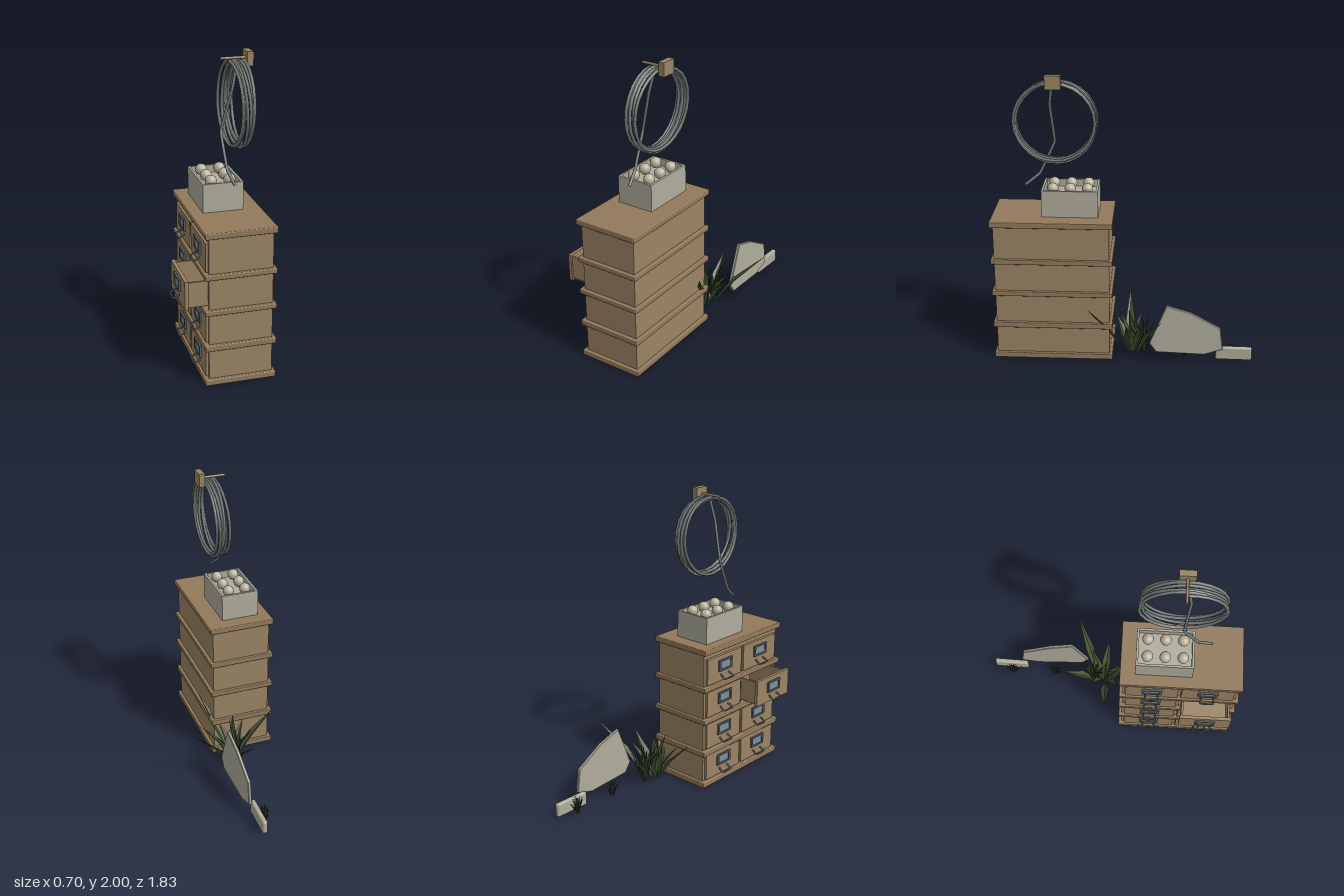
import * as THREE from 'three';
import { RoundedBoxGeometry } from 'three/addons/geometries/RoundedBoxGeometry.js';

const mat = (name, color, extra = {}) => {
  const m = new THREE.MeshStandardMaterial({ color, ...extra });
  m.name = name;
  return m;
};
const V = (x, y, z) => new THREE.Vector3(x, y, z);

export function createModel() {
  const wood = mat('wood', 0x9a8464);
  const trim = mat('trimWood', 0x92795a);
  const stone = mat('stone', 0xb0ad9c);
  const egg = mat('paleBall', 0xb8b39c);
  const cable = mat('cable', 0x727a77);
  const metal = mat('metal', 0x59636a);
  const label = mat('label', 0x7d8e9b);
  const leafLight = mat('leaf', 0x425230, { side: THREE.DoubleSide });
  const leafDark = mat('darkLeaf', 0x2a3822, { side: THREE.DoubleSide });

  const model = new THREE.Group();
  const add = (parent, name, geo, material, x = 0, y = 0, z = 0) => {
    const m = new THREE.Mesh(geo, material);
    m.name = name;
    m.position.set(x, y, z);
    parent.add(m);
    return m;
  };
  // box given by its minimum and maximum corners
  const box = (parent, name, material, x0, x1, y0, y1, z0, z1) =>
    add(parent, name, new THREE.BoxGeometry(x1 - x0, y1 - y0, z1 - z0), material,
      (x0 + x1) / 2, (y0 + y1) / 2, (z0 + z1) / 2);
  const polyTube = (pts, r, sides = 6) => {
    const path = new THREE.CatmullRomCurve3(pts, false, 'catmullrom', 0.08);
    return new THREE.TubeGeometry(path, pts.length * 8, r, sides);
  };

  // Everything in the cabinet group shares its slight turn
  const cabinet = new THREE.Group();
  cabinet.name = 'cabinet';
  cabinet.position.set(0, 0, 0.47);
  cabinet.rotation.y = 0.174;
  model.add(cabinet);

  // Horizontal boards with softened edges
  const boards = [[0, 0.04], [0.235, 0.275], [0.475, 0.51], [0.71, 0.745], [0.975, 1.015]];
  for (const [a, b] of boards)
    add(cabinet, 'board', new RoundedBoxGeometry(0.456, b - a, 0.824, 1, 0.006), trim, 0, (a + b) / 2, 0);

  // One drawer: hollow tray, front, label holder and pull
  function drawer(y, z, slide) {
    const d = new THREE.Group();
    d.name = 'drawer';
    d.position.set(-0.215 - slide, y, z);
    const h = 0.185, w = 0.178;
    box(d, 'drawerFront', wood, 0, 0.022, 0, h, -w, w);
    box(d, 'drawerBottom', wood, 0.022, 0.34, 0.005, 0.018, -0.16, 0.16);
    box(d, 'drawerBack', wood, 0.328, 0.34, 0.018, h - 0.012, -0.16, 0.16);
    for (const s of [-1, 1])
      box(d, 'drawerSide', wood, 0.022, 0.328, 0.018, h - 0.012, s * 0.16 - 0.007, s * 0.16 + 0.007);
    box(d, 'label', label, -0.005, 0, 0.085, 0.14, -0.055, 0.055);
    for (const s of [-1, 1]) {
      box(d, 'labelFrameSide', metal, -0.012, 0, 0.073, 0.152, s * 0.06 - 0.008, s * 0.06 + 0.008);
      box(d, 'labelFrameRail', metal, -0.012, 0, 0.1125 + s * 0.034 - 0.006, 0.1125 + s * 0.034 + 0.006, -0.052, 0.052);
    }
    add(d, 'pull', polyTube([V(0, 0.045, -0.04), V(-0.04, 0.022, -0.045), V(-0.04, 0.022, 0.045), V(0, 0.045, 0.04)], 0.006), metal);
    cabinet.add(d);
  }

  // Four carcass tiers, two drawers in each, one pulled out
  for (let i = 0; i < 4; i++) {
    const y0 = boards[i][1], y1 = boards[i + 1][0];
    box(cabinet, 'backPanel', wood, 0.18, 0.206, y0, y1, -0.39, 0.39);
    for (const s of [-1, 1])
      box(cabinet, 'endPanel', wood, -0.2, 0.18, y0, y1, s * 0.38 - 0.01, s * 0.38 + 0.01);
    box(cabinet, 'divider', wood, -0.2, 0.18, y0, y1, -0.01, 0.01);
    if (y1 - y0 > 0.22) box(cabinet, 'topRail', wood, -0.2, -0.18, y1 - 0.035, y1, -0.37, 0.37);
    drawer(y0 + 0.007, -0.19, 0);
    drawer(y0 + 0.007, 0.19, i === 2 ? 0.13 : 0);
  }

  // Stone tray holding six balls
  const rect = (p, hx, hz) => p.moveTo(-hx, -hz).lineTo(hx, -hz).lineTo(hx, hz).lineTo(-hx, hz).closePath();
  const rim = rect(new THREE.Shape(), 0.13, 0.19);
  rim.holes.push(rect(new THREE.Path(), 0.115, 0.175));
  const tray = add(cabinet, 'tray', new THREE.ExtrudeGeometry(rim, { depth: 0.185, bevelEnabled: false }), stone, -0.02, 1.015, -0.12);
  tray.rotation.x = -Math.PI / 2;
  box(cabinet, 'trayFloor', stone, -0.14, 0.1, 1.016, 1.15, -0.3, 0.06);
  for (const x of [-0.08, 0.04]) for (let k = -1; k < 2; k++)
    add(cabinet, 'ball', new THREE.SphereGeometry(0.038, 16, 12), egg, x, 1.196, -0.12 + k * 0.117);

  // Peg with its block, and the cable coil hung from it
  box(cabinet, 'pegBlock', wood, 0.143, 0.183, 1.91, 2, -0.085, 0.018);
  const peg = add(cabinet, 'peg', new THREE.CylinderGeometry(0.009, 0.009, 0.16, 8), wood, 0.068, 1.957, -0.033);
  peg.rotation.z = Math.PI / 2;
  const coil = [], turns = 7, steps = 24;
  for (let i = 0; i <= turns * steps; i++) {
    const t = i / steps, a = t * Math.PI * 2;
    const r = 0.263 + 0.007 * Math.sin(t * 2.4) + 0.004 * Math.sin(a * 1.5);
    coil.push(V(0.045 + 0.09 * t / turns + 0.008 * Math.sin(a + t * 1.3),
      1.675 + r * Math.cos(a) + 0.004 * Math.sin(t * 3), -0.035 + r * Math.sin(a)));
  }
  add(cabinet, 'cableCoil', new THREE.TubeGeometry(new THREE.CatmullRomCurve3(coil), turns * steps, 0.0105, 6), cable);
  add(model, 'cableEnd', polyTube([V(0.085, 1.94, 0.435), V(0.055, 1.78, 0.463), V(-0.015, 1.51, 0.455),
    V(0.015, 1.29, 0.555), V(0.055, 1.215, 0.645)], 0.01), cable);

  // Standing stone slab, outline in (z, y)
  const outline = [[-0.34, 0.43], [-0.5, 0.38], [-0.7, 0.265], [-0.72, 0.11], [-0.6, 0.07], [-0.275, 0.085], [-0.23, 0.15]];
  const slabShape = new THREE.Shape(outline.map(([z, y]) => new THREE.Vector2((-z - 0.475) * 1.015, y)));
  const slabGeo = new THREE.ExtrudeGeometry(slabShape, { depth: 0.014, bevelThickness: 0.004, bevelSize: 0.004, bevelSegments: 1 });
  slabGeo.translate(0, 0, -0.007);
  slabGeo.rotateY(Math.PI / 2);
  add(model, 'stoneSlab', slabGeo, stone, 0.072, 0, -0.475).rotation.y = 0.195;
  // Low stone behind it
  add(model, 'lowStone', new RoundedBoxGeometry(0.034, 0.095, 0.25, 2, 0.012), stone, -0.017, 0.063, -0.795).rotation.y = 0.15;

  // Folded pointed leaf from base to tip
  function leaf(parent, base, tip, w, material) {
    const dir = tip.clone().sub(base);
    const side = dir.clone().cross(V(0.01, 1, 0)).normalize();
    const up = side.clone().cross(dir).normalize();
    const at = (t, s, lift) => base.clone().addScaledVector(dir, t).addScaledVector(side, s * w).addScaledVector(up, lift * w);
    const pts = [];
    for (const [t, s, lift] of [[0, 0.4, 0.2], [0.45, 1, 1], [1, 0, 0]])
      pts.push(at(t, -s, lift), at(t, 0, lift - 0.5 * s), at(t, s, lift));
    const g = new THREE.BufferGeometry().setFromPoints(pts);
    g.setIndex([0, 1, 4, 0, 4, 3, 1, 2, 5, 1, 5, 4, 3, 4, 7, 4, 5, 7]);
    const flat = g.toNonIndexed();
    flat.computeVertexNormals();
    add(parent, 'leaf', flat, material);
  }

  // Large spiky plant
  const plant = new THREE.Group();
  plant.name = 'spikyPlant';
  model.add(plant);
  const tips = [[0.345, 0.43, -0.35], [0.23, 0.42, 0.2], [-0.28, 0.36, -0.01], [0.26, 0.33, -0.09], [-0.07, 0.3, -0.38],
    [-0.07, 0.25, 0.05], [0.1, 0.24, 0.04], [0.16, 0.3, -0.2], [-0.1, 0.29, -0.14], [0.05, 0.35, -0.07], [0.01, 0.33, 0.01]];
  for (const [x, y, z] of tips)
    leaf(plant, V(0.02 + x * 0.1, 0.02, -0.08 + (z + 0.08) * 0.2), V(x, y, z), 0.032, leafLight);

  // Dark tufts of radiating blades: x, y, z, radius, height, blades, width
  const tufts = [[0.02, 0.02, -0.17, 0.15, 0.3, 9, 0.017], [0, 0.01, -0.455, 0.065, 0.12, 11, 0.009], [-0.06, 0.01, -0.775, 0.065, 0.13, 12, 0.008]];
  for (const [x, y, z, r, h, n, w] of tufts) {
    const tuft = new THREE.Group();
    tuft.name = 'grassTuft';
    model.add(tuft);
    for (let i = 0; i < n; i++) {
      const a = i * 2.4, k = 0.45 + 0.55 * ((i * 5) % n) / n;
      const c = Math.cos(a), s = Math.sin(a);
      leaf(tuft, V(x + c * 0.012, y, z + s * 0.012),
        V(x + c * r * k * 0.6, y + h * (1.15 - 0.5 * k), z + s * r * k), w, leafDark);
    }
  }
  return model;
}
